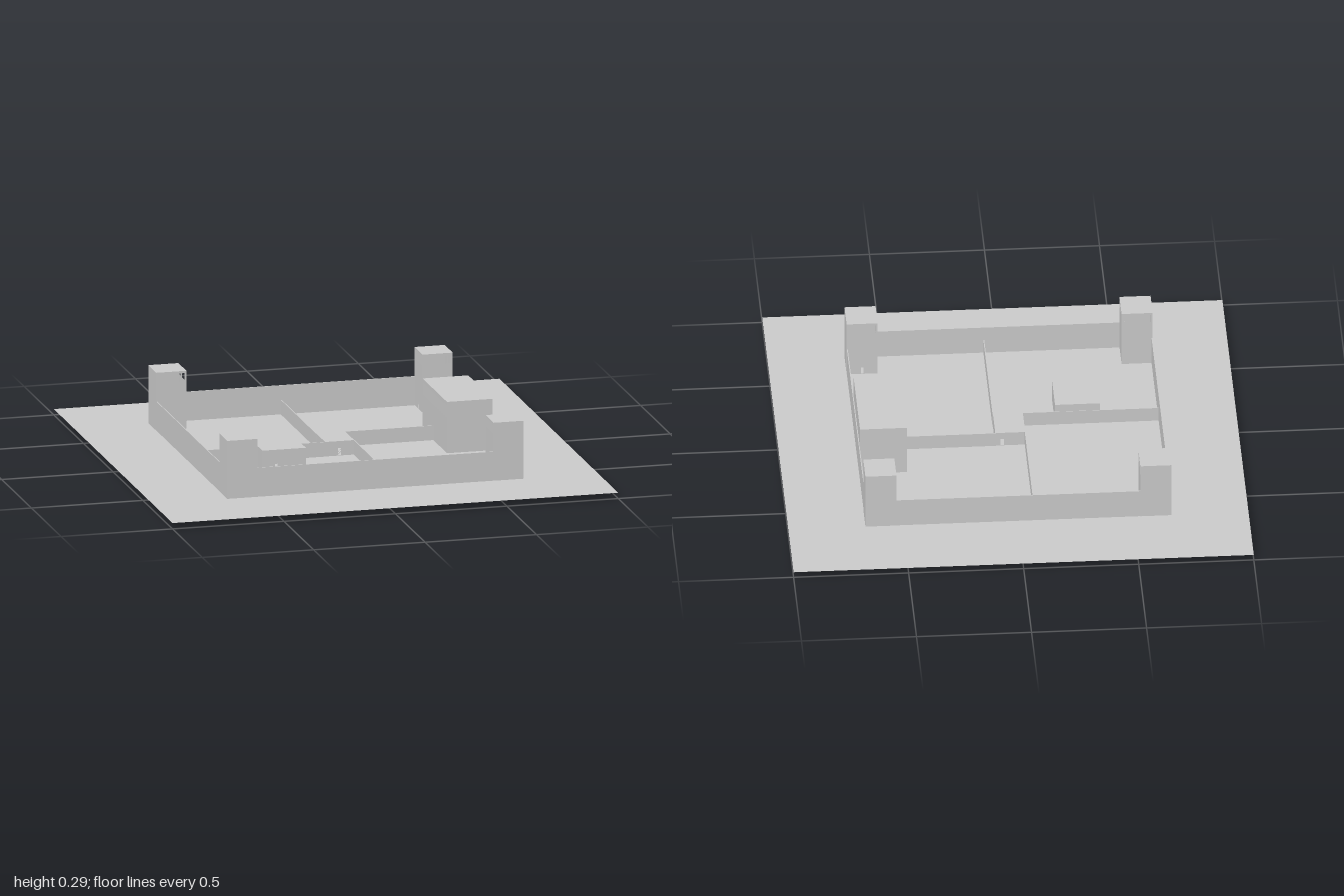
import * as THREE from 'three';

const GROUND = 0.025;
const mat = new THREE.MeshStandardMaterial({ color: 0xcccccc, side: THREE.DoubleSide, flatShading: true });

function mesh(name, geometry, x = 0, y = 0, z = 0) {
  const m = new THREE.Mesh(geometry, mat);
  m.name = name;
  m.position.set(x, y, z);
  return m;
}

// Thin sheet of wall, base centred on the origin; openings are [x, y, width, height]
function panel(name, w, h, openings = []) {
  const rect = (T, x0, y0, x1, y1) => {
    const s = new T();
    s.moveTo(x0, y0).lineTo(x1, y0).lineTo(x1, y1).lineTo(x0, y1).closePath();
    return s;
  };
  const shape = rect(THREE.Shape, -w / 2, 0, w / 2, h);
  for (const [x, y, ow, oh] of openings) {
    shape.holes.push(rect(THREE.Path, x - ow / 2, y, x + ow / 2, y + oh));
  }
  return mesh(name, new THREE.ShapeGeometry(shape));
}

// Evenly spaced row of window openings
function windowRow(span, count, y, height) {
  const pitch = span / count;
  return Array.from({ length: count }, (_, i) =>
    [(i + 0.5) * pitch - span / 2, y, pitch * 0.7, height]);
}

// Hollow block with a flat roof; openings are listed per side
function building(name, x0, x1, z0, z1, h, openings = {}) {
  const g = new THREE.Group();
  g.name = name;
  const w = x1 - x0, d = z1 - z0;
  g.position.set((x0 + x1) / 2, GROUND, (z0 + z1) / 2);
  const sides = [['front', w, 0, d / 2, 0], ['back', w, 0, -d / 2, Math.PI],
    ['left', d, w / 2, 0, Math.PI / 2], ['right', d, -w / 2, 0, -Math.PI / 2]];
  for (const [side, len, x, z, turn] of sides) {
    const p = panel(side + 'Wall', len, h, openings[side]);
    p.position.set(x, 0, z);
    p.rotation.y = turn;
    g.add(p);
  }
  const roof = mesh('roof', new THREE.PlaneGeometry(w, d), 0, h, 0);
  roof.rotation.x = -Math.PI / 2;
  g.add(roof);
  return g;
}

// Leaning ladder that climbs from its foot towards local -z
function ladder(name, width, rise, run, x, y, z, turn = 0) {
  const g = new THREE.Group();
  g.name = name;
  const len = Math.hypot(rise, run), rungs = Math.round(len / 0.014);
  for (const s of [-1, 1]) {
    g.add(mesh('rail', new THREE.BoxGeometry(0.003, len, 0.003), s * (width / 2 - 0.0015), len / 2, 0));
  }
  for (let i = 0; i < rungs; i++) {
    g.add(mesh('rung', new THREE.BoxGeometry(width, 0.003, 0.003), 0, (i + 0.3) * len / rungs, 0));
  }
  g.position.set(x, y, z);
  g.rotation.set(-Math.atan2(run, rise), turn, 0, 'YXZ');
  return g;
}

// Wall standing on the ground between two points
function wall(name, x0, z0, x1, z1, h, t) {
  return mesh(name, new THREE.BoxGeometry(Math.abs(x1 - x0) + t, h, Math.abs(z1 - z0) + t),
    (x0 + x1) / 2, GROUND + h / 2, (z0 + z1) / 2);
}

export function createModel() {
  const model = new THREE.Group();
  model.name = 'walledCompound';

  const ground = mesh('ground', new THREE.PlaneGeometry(2, 2), 0, GROUND, 0);
  ground.rotation.x = -Math.PI / 2;
  model.add(ground);

  // Four corners repeat by quarter turns: tower, ladder and a length of outer wall
  for (let i = 0; i < 4; i++) {
    const corner = new THREE.Group();
    corner.name = 'towerAndWall';
    corner.rotation.y = i * Math.PI / 2;
    const lookout = windowRow(0.125, 7, 0.212, 0.038);
    corner.add(building('watchTower', 0.53, 0.665, 0.53, 0.665, 0.26, {
      right: lookout,
      back: [...lookout, [0, 0.002, 0.012, 0.03]],
    }));
    corner.add(ladder('towerLadder', 0.03, 0.2, 0.035, 0.56, 0.015, 0.581));
    corner.add(wall('outerWall', -0.53, 0.662, 0.53, 0.662, 0.13, 0.004));
    model.add(corner);
  }

  // Low walls in a pinwheel around the central gatehouse
  const low = 0.065;
  model.add(
    wall('innerWall', -0.07, -0.66, -0.07, -0.07, low, 0.004),
    wall('innerWall', 0.06, -0.07, 0.455, -0.07, low, 0.004),
    wall('innerWall', 0.06, 0.08, 0.06, 0.66, low, 0.004),
    wall('innerWall', -0.66, 0.08, -0.07, 0.08, low, 0.004));
  const door = [[0, 0.002, 0.014, 0.032]];
  model.add(building('centralGatehouse', -0.07, 0.06, -0.07, 0.08, low,
    { front: door, back: [[-0.035, 0.002, 0.014, 0.032]], left: door, right: door }));
  model.add(ladder('gatehouseLadder', 0.025, 0.08, 0.085, -0.045, 0, 0.066, -Math.PI / 2));

  // Small house with a door
  model.add(building('house', -0.405, -0.21, 0.08, 0.28, 0.1,
    { front: [[-0.035, 0.002, 0.012, 0.035]] }));

  // Long hall against the wall, with a high row of windows facing the yard
  model.add(building('hall', 0.455, 0.66, -0.25, 0.162, 0.23,
    { right: windowRow(0.4, 12, 0.16, 0.05) }));
  model.add(ladder('hallStair', 0.065, 0.16, 0.16, 0.556, 0, -0.02, Math.PI));

  return model;
}
